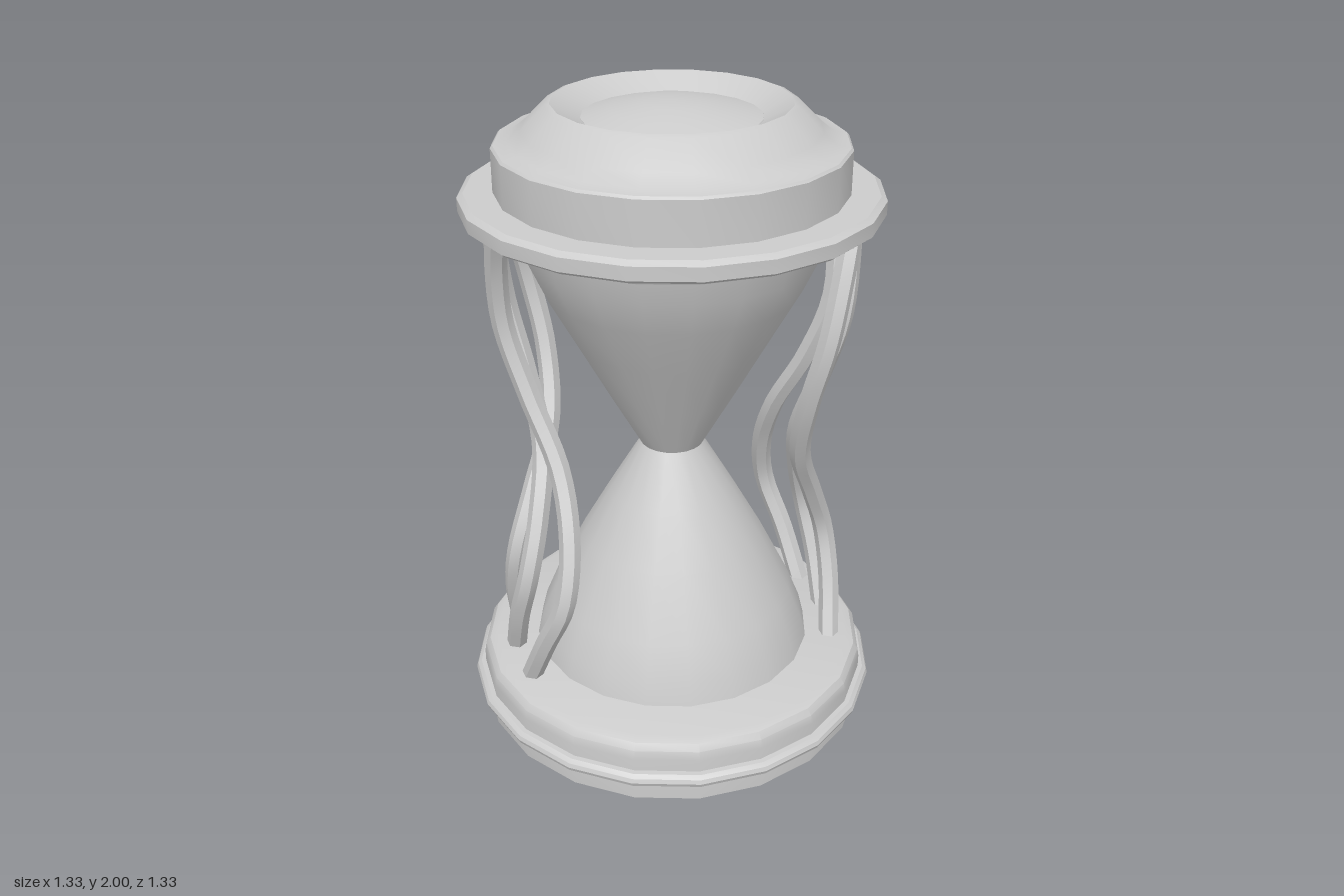
import * as THREE from 'three';
import { toCreasedNormals } from 'three/addons/utils/BufferGeometryUtils.js';

const SIDES = 20;

export function createModel() {
  const model = new THREE.Group();
  model.name = 'hourglass';
  const material = new THREE.MeshStandardMaterial({ color: 0xcccccc });

  const add = (name, geometry, parent = model) => {
    const mesh = new THREE.Mesh(geometry, material);
    mesh.name = name;
    parent.add(mesh);
    return mesh;
  };

  // Turned part: profile of [radius, height] from bottom to top
  const turned = (name, profile) => {
    const points = profile.map(([r, y]) => new THREE.Vector2(r, y));
    return add(name, toCreasedNormals(new THREE.LatheGeometry(points, SIDES), 0.5));
  };

  // Base with a rounded upper edge, and a bead around it
  turned('base', [
    [0, 0], [0.635, 0], [0.635, 0.15], [0.63, 0.18], [0.615, 0.2], [0.59, 0.21], [0, 0.21],
  ]);
  turned('baseBead', [
    [0.62, 0.06], [0.65, 0.062], [0.662, 0.072], [0.667, 0.085], [0.662, 0.098], [0.65, 0.108], [0.62, 0.11],
  ]);

  // Two glass bulbs meeting at the neck
  turned('lowerBulb', [
    [0.455, 0.2], [0.435, 0.28], [0.39, 0.39], [0.29, 0.59], [0.2, 0.75], [0.1, 0.92], [0, 0.92],
  ]);
  turned('upperBulb', [
    [0, 0.92], [0.1, 0.92], [0.2, 1.1], [0.3, 1.285], [0.39, 1.45], [0.44, 1.56], [0.462, 1.65],
  ]);

  // Lid: lower collar, wide flange and cap with a dished top
  turned('lidCollar', [[0, 1.64], [0.49, 1.64], [0.505, 1.675], [0.505, 1.7], [0, 1.7]]);
  turned('lidFlange', [
    [0, 1.69], [0.605, 1.69], [0.618, 1.7], [0.618, 1.74], [0.6, 1.752], [0, 1.752],
  ]);
  turned('lidCap', [
    [0.515, 1.74], [0.515, 1.88], [0.508, 1.887], [0.47, 1.894], [0.43, 1.925],
    [0.36, 1.994], [0.345, 2], [0.26, 1.955],
  ]);
  turned('lidDome', [[0.262, 1.95], [0.26, 1.956], [0.18, 1.978], [0.09, 1.994], [0, 2]]);

  // Wavy strands: [height, distance from the axis, sideways sway]
  const sway = [
    [1.71, 0.53, 0.19], [1.55, 0.525, 0.26], [1.36, 0.51, 0.295], [1.15, 0.455, 0.255],
    [0.93, 0.41, 0.16], [0.73, 0.45, 0.06], [0.55, 0.505, 0.005], [0.38, 0.525, 0.05], [0.19, 0.53, 0.135],
  ];
  for (const [name, turn] of [['leftStrands', 0], ['rightStrands', Math.PI]]) {
    const strands = new THREE.Group();
    strands.name = name;
    strands.rotation.y = turn;
    model.add(strands);
    for (let i = 0; i < 3; i++) {
      const path = new THREE.CatmullRomCurve3(sway.map(([y, r, s]) => {
        const z = s - i * 0.172;
        return new THREE.Vector3(Math.sqrt(r * r - z * z), y, z);
      }));
      const tube = new THREE.TubeGeometry(path, 32, 0.033, 6);
      add('strand', toCreasedNormals(tube, 0.5), strands);
    }
  }

  return model;
}
